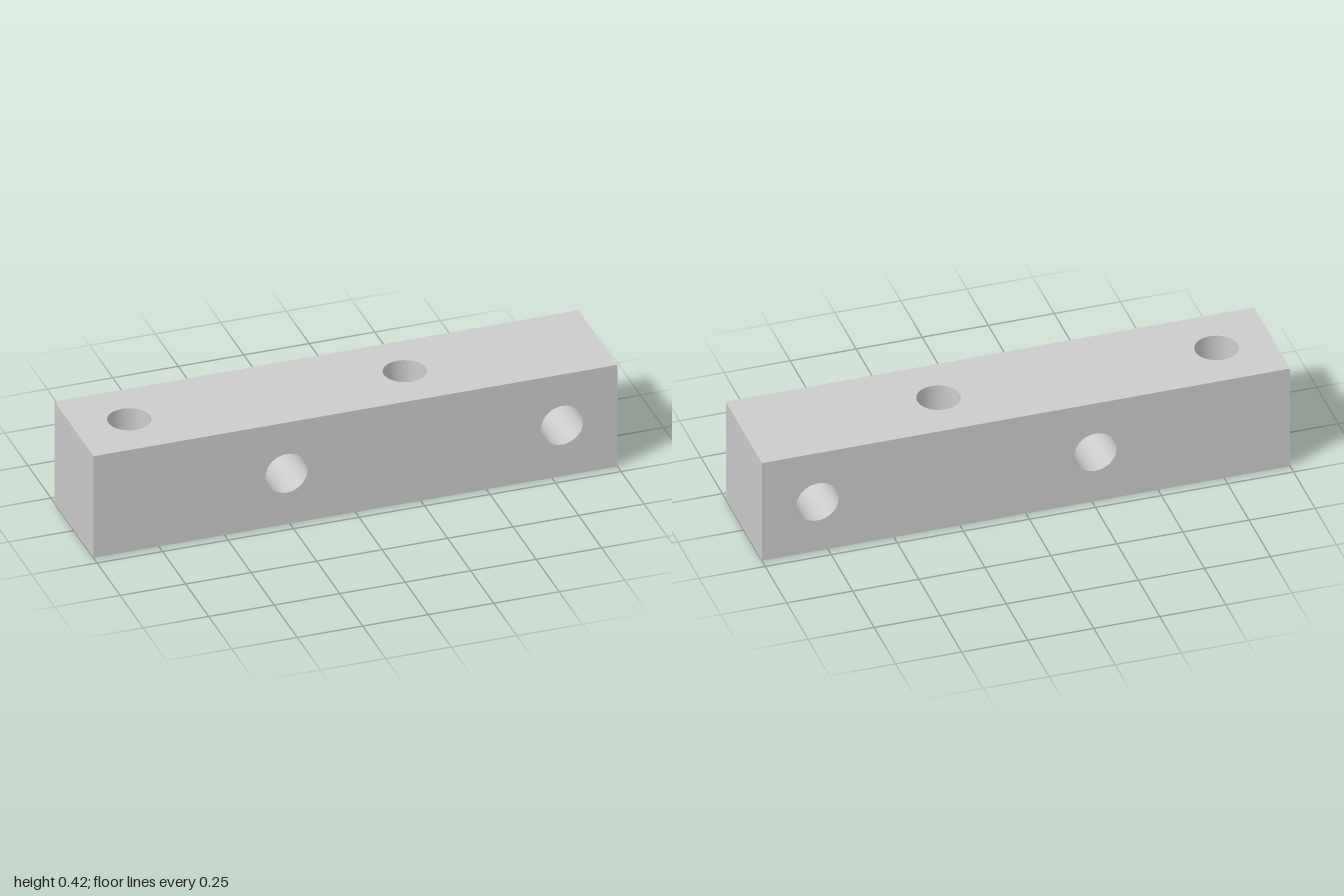
import * as THREE from 'three';
import { mergeGeometries } from 'three/addons/utils/BufferGeometryUtils.js';

const LENGTH = 2, SIDE = 0.421, RADIUS = 0.08, SEGMENTS = 48;
const CROSS_HOLES = [-0.263, 0.789];     // bored front to back
const VERTICAL_HOLES = [-0.789, 0.263];  // bored top to bottom

// Long face of the bar with round openings, facing +z
function drilledFace(holes) {
  const l = LENGTH / 2, s = SIDE / 2;
  const shape = new THREE.Shape([
    new THREE.Vector2(-l, -s), new THREE.Vector2(l, -s),
    new THREE.Vector2(l, s), new THREE.Vector2(-l, s),
  ]);
  for (const x of holes) {
    shape.holes.push(new THREE.Path().absarc(x, 0, RADIUS, 0, Math.PI * 2, true));
  }
  return new THREE.ShapeGeometry(shape, SEGMENTS).translate(0, 0, s);
}

export function createModel() {
  const model = new THREE.Group();
  model.name = 'drilledBar';
  const solid = new THREE.MeshStandardMaterial({ color: 0xcccccc });
  const inner = new THREE.MeshStandardMaterial({ color: 0xcccccc, side: THREE.BackSide });

  // Outer skin: four long faces turned about the bar's axis, and two plain ends
  const faces = [0, 1, 2, 3].map((i) =>
    drilledFace(i % 2 ? VERTICAL_HOLES : CROSS_HOLES).rotateX(-i * Math.PI / 2));
  for (const side of [-1, 1]) {
    faces.push(new THREE.PlaneGeometry(SIDE, SIDE)
      .rotateY(side * Math.PI / 2).translate(side * LENGTH / 2, 0, 0));
  }
  const bar = new THREE.Mesh(mergeGeometries(faces), solid);
  bar.name = 'bar';
  model.add(bar);

  // Smooth walls of the through holes, seen from inside
  const addBore = (name, x, tilt) => {
    const wall = new THREE.CylinderGeometry(RADIUS, RADIUS, SIDE, SEGMENTS, 1, true);
    const bore = new THREE.Mesh(wall.rotateX(tilt).translate(x, 0, 0), inner);
    bore.name = name;
    model.add(bore);
  };
  CROSS_HOLES.forEach((x, i) => addBore(`crossBore${i + 1}`, x, Math.PI / 2));
  VERTICAL_HOLES.forEach((x, i) => addBore(`verticalBore${i + 1}`, x, 0));

  // Stand the bar on the ground
  for (const mesh of model.children) mesh.position.y = SIDE / 2;
  return model;
}
